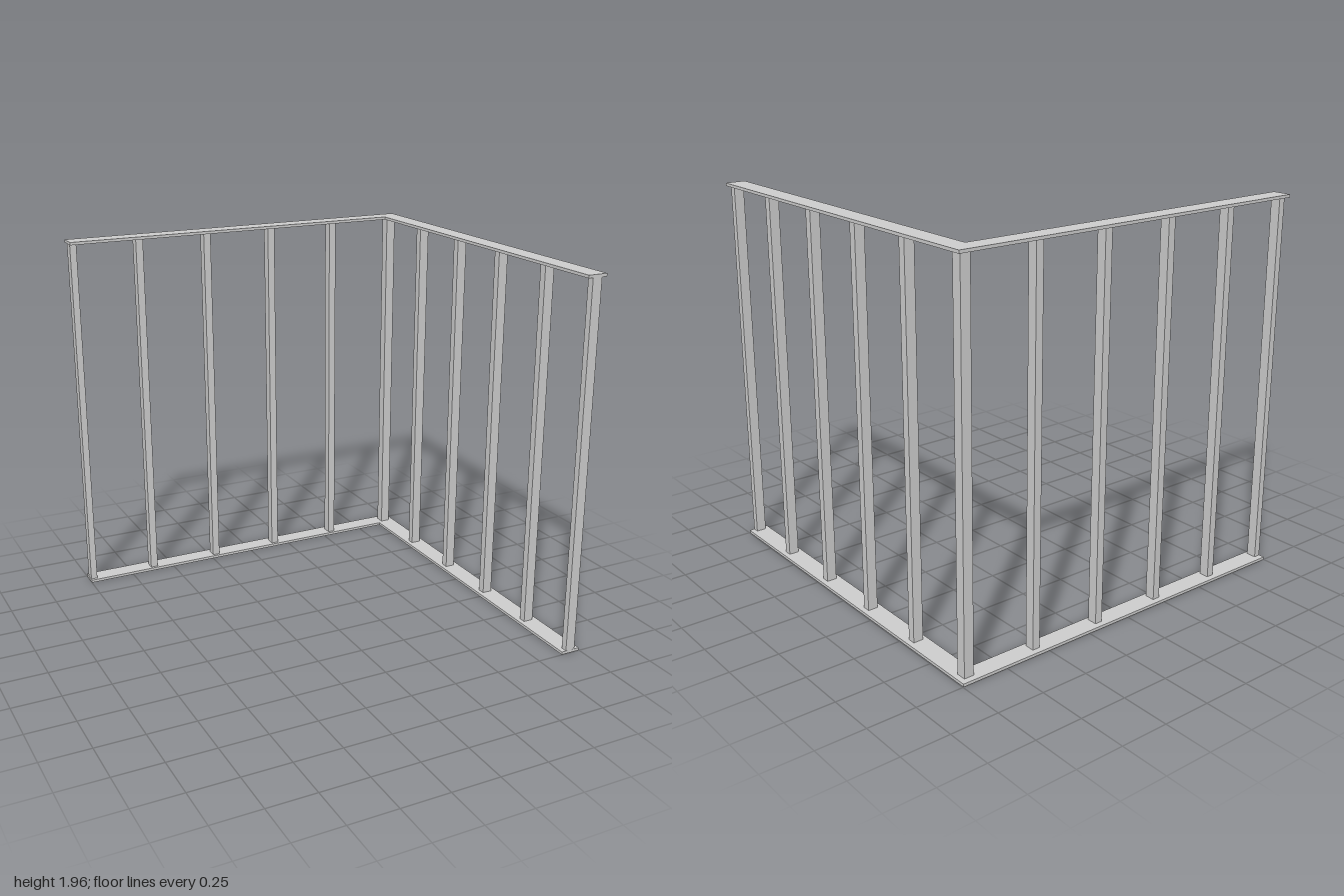
import * as THREE from 'three';

const HEIGHT = 1.96, PLATE = 0.015, WIDTH = 0.1;
const STUD_W = 0.04, STUD_D = 0.052;

export function createModel() {
  const group = new THREE.Group();
  const material = new THREE.MeshStandardMaterial({ color: 0xcccccc });

  // L-shaped plates; shape y becomes -z once laid flat
  const outline = new THREE.Shape([
    [-1, 1], [-1, 1 - WIDTH], [0.892, 1 - WIDTH], [0.892, -0.998], [0.997, -0.998], [0.997, 1],
  ].map(([x, y]) => new THREE.Vector2(x, y)));
  const plateGeometry = new THREE.ExtrudeGeometry(outline, { depth: PLATE, bevelEnabled: false });
  plateGeometry.rotateX(-Math.PI / 2);
  for (const [name, y] of [['bottomPlate', 0], ['topPlate', HEIGHT - PLATE]]) {
    const plate = new THREE.Mesh(plateGeometry, material);
    plate.name = name;
    plate.position.y = y;
    group.add(plate);
  }

  // Upright studs between the plates
  const addStud = (name, x, z, w, d) => {
    const stud = new THREE.Mesh(new THREE.BoxGeometry(w, HEIGHT - 2 * PLATE, d), material);
    stud.name = name;
    stud.position.set(x, HEIGHT / 2, z);
    group.add(stud);
  };
  const centre = 0.943;
  const offsets = [-0.98, -0.615, -0.223, 0.165, 0.555];
  offsets.forEach((p, i) => {
    const w = i === 0 ? 0.035 : STUD_W;
    addStud(`backWallStud${i + 1}`, p, -centre, w, STUD_D);
    addStud(`sideWallStud${i + 1}`, centre, -p, STUD_D, w);
  });
  addStud('cornerStud', centre, -centre, STUD_D, STUD_D);

  return group;
}
